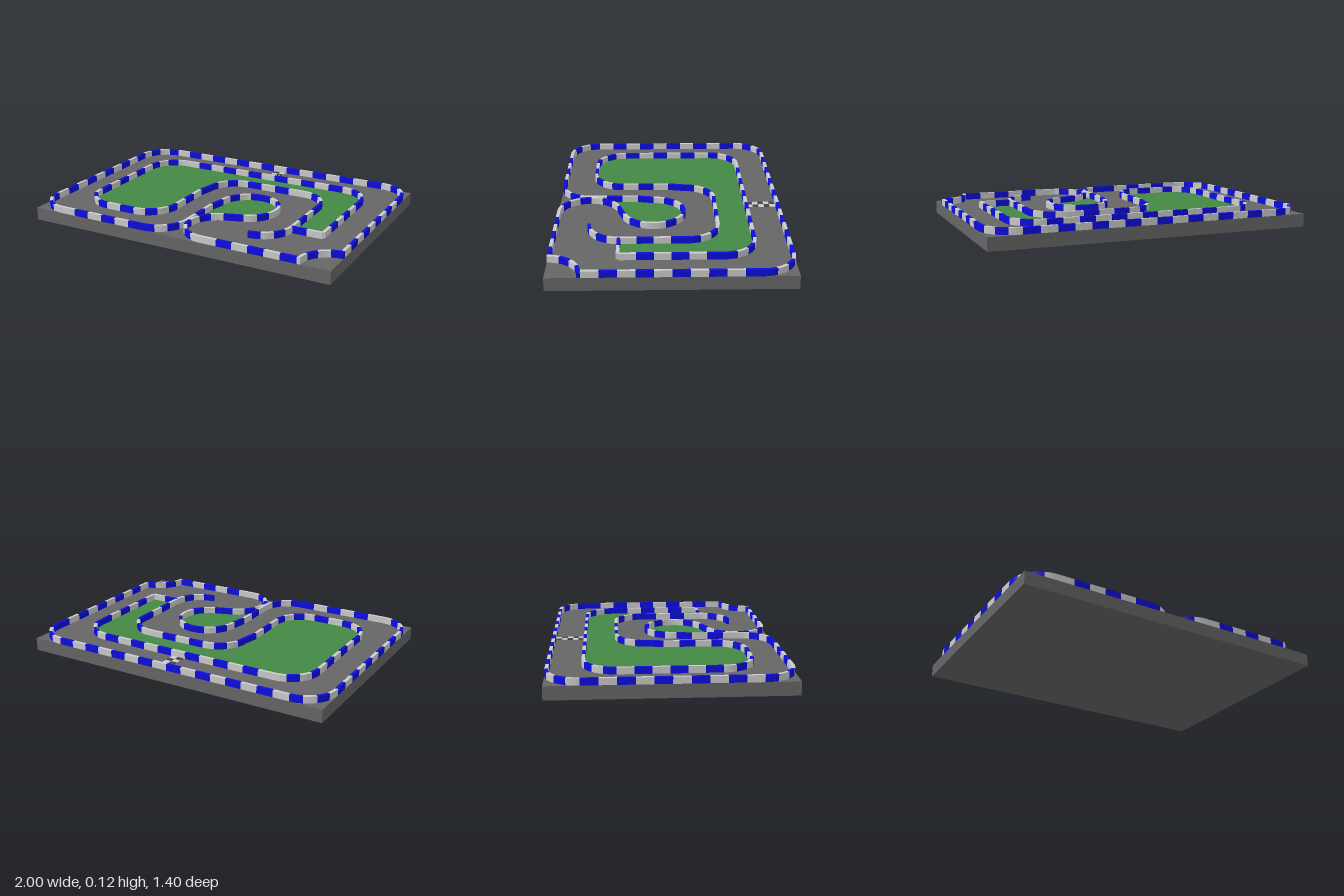
import * as THREE from 'three';
import { mergeGeometries } from 'three/addons/utils/BufferGeometryUtils.js';

const GROUND = 0.08, WALL_H = 0.04, HALF_W = 0.01;
const mat = (color) => new THREE.MeshStandardMaterial({ color });

// A section is a stretch of wall: at(t) gives a centre point [x, z] and normal [nx, nz].
// n = number of painted blocks, first = 0 for blue or 1 for light.
function line(x0, z0, x1, z1, n, first) {
  const len = Math.hypot(x1 - x0, z1 - z0);
  const nx = -(z1 - z0) / len, nz = (x1 - x0) / len;
  return { n, first, sub: 1, at: (t) => [x0 + (x1 - x0) * t, z0 + (z1 - z0) * t, nx, nz] };
}

function arc(cx, cz, from, to, n, first, r = 0.19) {
  return {
    n, first, sub: 4,
    at: (t) => {
      const a = THREE.MathUtils.degToRad(from + (to - from) * t);
      const c = Math.cos(a), s = Math.sin(a);
      return [cx + r * c, cz + r * s, c, s];
    },
  };
}

// Extrude a flat outline of [x, z] points upwards from height y
function slab(points, y, height) {
  const shape = new THREE.Shape(points.map(([x, z]) => new THREE.Vector2(x, -z)));
  const geo = new THREE.ExtrudeGeometry(shape, { depth: height, bevelEnabled: false });
  return geo.rotateX(-Math.PI / 2).translate(0, y, 0);
}

// Alternating blue and light blocks along a list of sections
function barrier(sections, name) {
  const blocks = [[], []];
  for (const s of sections) {
    for (let i = 0; i < s.n; i++) {
      const a = [], b = [];
      for (let k = 0; k <= s.sub; k++) {
        const [x, z, nx, nz] = s.at((i + k / s.sub) / s.n);
        a.push([x + nx * HALF_W, z + nz * HALF_W]);
        b.unshift([x - nx * HALF_W, z - nz * HALF_W]);
      }
      blocks[(s.first + i) % 2].push(slab([...a, ...b], GROUND, WALL_H));
    }
  }
  const group = new THREE.Group();
  group.name = name;
  [['blueBlocks', 0x0c0ce0], ['lightBlocks', 0xcccccc]].forEach(([label, color], i) => {
    const mesh = new THREE.Mesh(mergeGeometries(blocks[i]), mat(color));
    mesh.name = label;
    group.add(mesh);
  });
  return group;
}

// Thin lawn bounded by the centre lines of some sections
function lawn(sections, name) {
  const pts = [];
  for (const s of sections) {
    const steps = s.n * s.sub;
    for (let i = 0; i < steps; i++) pts.push(s.at(i / steps).slice(0, 2));
  }
  const mesh = new THREE.Mesh(slab(pts, GROUND, 0.002), mat(0x448844));
  mesh.name = name;
  return mesh;
}

export function createModel() {
  const model = new THREE.Group();
  model.name = 'raceTrack';

  // Asphalt base
  const base = new THREE.Mesh(new THREE.BoxGeometry(2, GROUND, 1.4), mat(0x666666));
  base.position.y = GROUND / 2;
  base.name = 'asphaltBase';
  model.add(base);

  // Hairpin part of the outer barrier, which encloses the small lawn
  const hairpin = [
    line(-0.01, 0.5, -0.01, 0.2, 3, 1),
    line(-0.01, 0.2, 0.01, 0.1, 1, 0),
    arc(0.2, 0.1, 180, 270, 4, 1),
    arc(0.2, 0.1, 270, 360, 4, 0),
    arc(0.2, 0.1, 360, 432, 3, 1),
    line(0.259, 0.281, 0.141, 0.319, 1, 0),
    arc(0.2, 0.5, 252, 180, 3, 1),
  ];
  // Outer barrier, once around the circuit
  const outer = [
    line(0.2, 0.69, 0.8, 0.69, 6, 1),
    arc(1, 0.7, 180, 270, 4, 1),
    line(0.99, 0.5, 0.99, -0.5, 10, 1),
    arc(0.8, -0.5, 0, -90, 4, 0),
    line(0.8, -0.69, -0.8, -0.69, 16, 0),
    arc(-0.8, -0.5, -90, -180, 4, 0),
    line(-0.99, -0.5, -0.99, 0.5, 10, 0),
    arc(-0.8, 0.5, 180, 90, 4, 0),
    line(-0.8, 0.69, -0.2, 0.69, 6, 1),
    arc(-0.2, 0.5, 90, 0, 4, 0),
    ...hairpin,
    arc(0.2, 0.5, 180, 90, 4, 0),
  ];
  model.add(barrier(outer, 'outerBarrier'));

  // Inner barrier: a closed loop around the large lawn plus a loose curved end
  const infield = [
    line(0.59, 0.3, 0.59, -0.1, 4, 1),
    arc(0.4, -0.1, 0, -90, 4, 0),
    line(0.4, -0.29, 0, -0.29, 4, 1),
    arc(0, -0.1, -90, -180, 4, 1),
    line(-0.19, -0.1, -0.21, 0, 1, 0),
    line(-0.21, 0, -0.21, 0.3, 3, 1),
    arc(-0.4, 0.3, 0, 90, 4, 0),
    line(-0.4, 0.49, -0.6, 0.49, 2, 0),
    arc(-0.6, 0.3, 90, 180, 4, 0),
    line(-0.79, 0.3, -0.79, -0.3, 6, 0),
    arc(-0.6, -0.3, 180, 270, 4, 0),
    line(-0.6, -0.49, 0.6, -0.49, 12, 1),
    arc(0.6, -0.3, -90, 0, 4, 1),
    line(0.79, -0.3, 0.79, 0.3, 6, 0),
    line(0.79, 0.305, 0.59, 0.305, 2, 1),
  ];
  model.add(barrier([arc(0.4, 0.3, 90, 0, 4, 0), ...infield], 'innerBarrier'));

  // Lawns
  model.add(lawn(infield, 'infieldLawn'), lawn(hairpin, 'hairpinLawn'));

  // Chequered start line: two columns of five tiles
  const startLine = new THREE.Group();
  startLine.name = 'startLine';
  const tile = new THREE.BoxGeometry(0.04, 0.002, 0.036);
  const light = mat(0xcccccc), dark = mat(0x444444);
  for (let row = 0; row < 5; row++) {
    for (let col = 0; col < 2; col++) {
      const mesh = new THREE.Mesh(tile, (row + col) % 2 ? light : dark);
      mesh.position.set(0.03 + col * 0.04, GROUND + 0.001, -0.662 + row * 0.036);
      mesh.name = 'startTile';
      startLine.add(mesh);
    }
  }
  model.add(startLine);
  return model;
}
